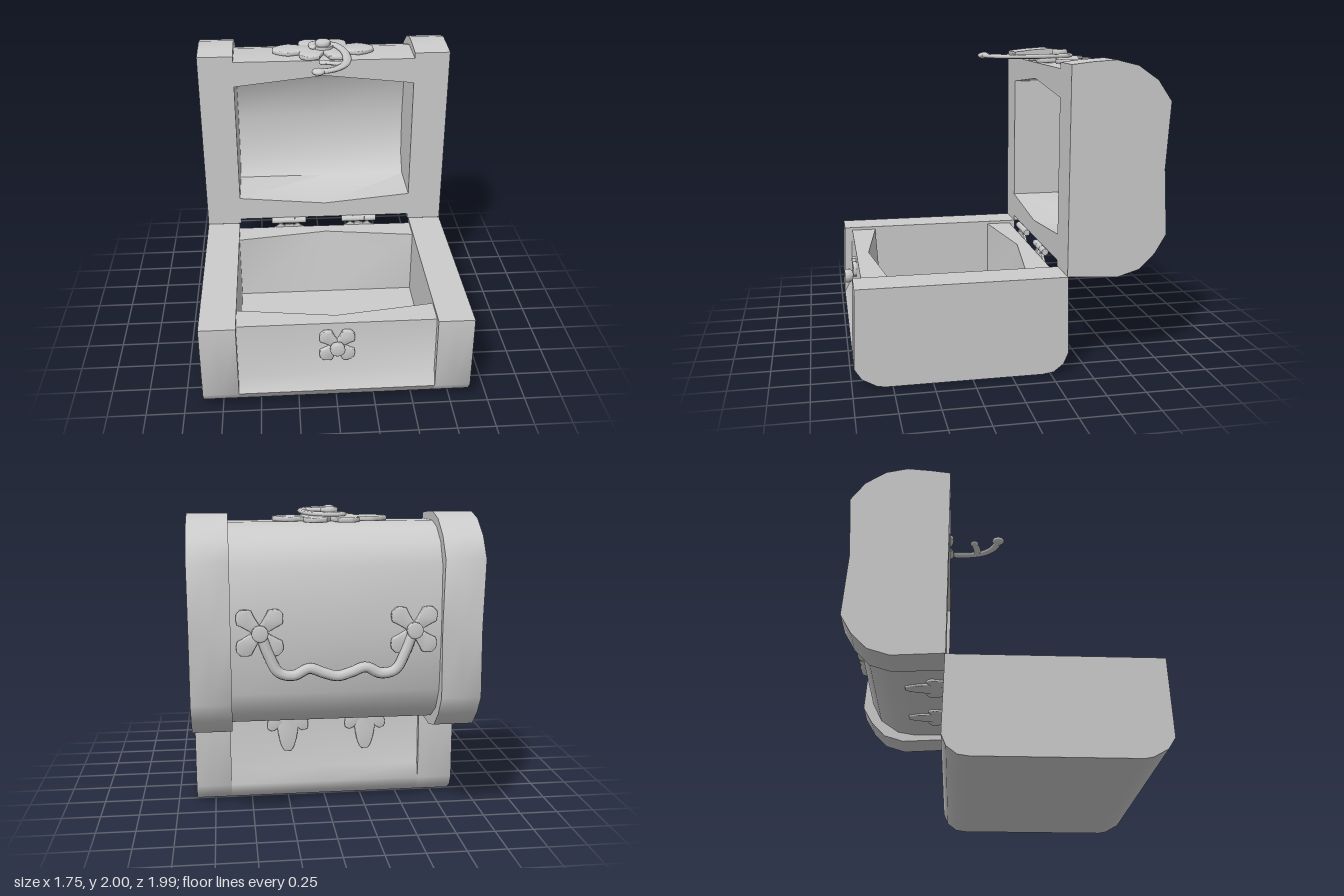
import * as THREE from 'three';
import { toCreasedNormals } from 'three/addons/utils/BufferGeometryUtils.js';

const mat = new THREE.MeshStandardMaterial({ color: 0xcccccc, side: THREE.DoubleSide });

function add(parent, name, geometry) {
  const mesh = new THREE.Mesh(geometry, mat);
  mesh.name = name;
  parent.add(mesh);
  return mesh;
}

// Solid with a [z, y] side profile running from x0 to x1.
// An optional bow moves the vertices of the middle section.
function slab(profile, x0, x1, bow) {
  const shape = new THREE.Shape(profile.map(([z, y]) => new THREE.Vector2(-z, y)));
  const g = new THREE.ExtrudeGeometry(shape, { depth: x1 - x0, steps: 2, bevelEnabled: false });
  g.rotateY(Math.PI / 2).translate(x0, 0, 0);
  if (bow) {
    const pos = g.attributes.position, v = new THREE.Vector3();
    for (let i = 0; i < pos.count; i++) {
      v.fromBufferAttribute(pos, i);
      if (Math.abs(v.x) < 0.01) bow(v);
      pos.setXYZ(i, v.x, v.y, v.z);
    }
  }
  return toCreasedNormals(g, 0.85);
}

// Leaf plate from the origin along +y, widest at the given share of its length
function leaf(length, width, widest, thick) {
  const s = new THREE.Shape();
  s.moveTo(-width * 0.2, 0);
  s.quadraticCurveTo(-width * 0.3, length * widest * 0.6, -width / 2, length * widest);
  s.quadraticCurveTo(-width * 0.38, length * 0.9, -width * 0.14, length);
  s.lineTo(width * 0.14, length);
  s.quadraticCurveTo(width * 0.38, length * 0.9, width / 2, length * widest);
  s.quadraticCurveTo(width * 0.3, length * widest * 0.6, width * 0.2, 0);
  return toCreasedNormals(new THREE.ExtrudeGeometry(s, {
    depth: thick * 0.5, bevelThickness: thick * 0.25, bevelSize: 0.006, bevelSegments: 2, curveSegments: 5,
  }), 0.85);
}

// Flower of leaf plates with a round stud, facing +z
function flower(name, petals, stud, height) {
  const g = new THREE.Group();
  g.name = name;
  for (const [angle, length, width, widest] of petals)
    add(g, 'petal', leaf(length, width, widest, 0.03)).rotation.z = THREE.MathUtils.degToRad(angle);
  const pts = [[0.6, 0], [0.75, height * 0.4], [1, height * 0.5], [1, height * 0.88], [0.8, height], [0, height]];
  add(g, 'stud', new THREE.LatheGeometry(pts.map(([r, y]) => new THREE.Vector2(r * stud, y)), 12)).rotation.x = Math.PI / 2;
  return g;
}

const rod = (points, radius, steps) =>
  new THREE.TubeGeometry(new THREE.CatmullRomCurve3(points.map((p) => new THREE.Vector3(...p))), steps, radius, 8);

const diagonal = [45, 135, 225, 315].map((a) => [a, 0.135, 0.095, 0.75]);

function createBase() {
  const g = new THREE.Group();
  g.name = 'base';
  const foot = [[0.985, 0.13], [0.94, 0.06], [0.85, 0.01], [0.8, 0], [-0.2, 0], [-0.27, 0.01], [-0.335, 0.06], [-0.365, 0.13]];
  // Thick end walls
  const end = [[0.97, 0.635], ...foot, [-0.355, 0.635]];
  add(g, 'leftEnd', slab(end, 0.64, 0.875));
  add(g, 'rightEnd', slab(end, -0.875, -0.64));
  // Tray with recessed panels and a broad rim that narrows towards the middle
  add(g, 'tray', slab([
    [0.915, 0.615], [0.93, 0.23], ...foot, [-0.33, 0.23], [-0.315, 0.615],
    [-0.14, 0.615], [-0.14, 0.14], [0.74, 0.14], [0.74, 0.615],
  ], -0.64, 0.64, (v) => {
    if (v.y > 0.6 && v.z > -0.2 && v.z < 0.8) v.z += v.z > 0 ? 0.09 : -0.09;
  }));
  const catchFlower = flower('catchFlower', diagonal, 0.048, 0.077);
  catchFlower.position.set(0, 0.455, 0.922);
  g.add(catchFlower);
  return g;
}

function createLid() {
  const g = new THREE.Group();
  g.name = 'lid';
  // Thick end caps
  const cap = [
    [-0.35, 1.95], [-0.48, 1.965], [-0.63, 1.975], [-0.77, 1.94], [-0.9, 1.85], [-0.99, 1.72], [-0.965, 1.3],
    [-0.99, 0.88], [-0.92, 0.76], [-0.82, 0.66], [-0.68, 0.618], [-0.35, 0.638],
  ];
  add(g, 'leftCap', slab(cap, 0.63, 0.875));
  add(g, 'rightCap', slab(cap, -0.875, -0.63));
  // Hollow barrel with the same kind of rim
  add(g, 'barrel', slab([
    [-0.35, 1.91], [-0.62, 1.92], [-0.74, 1.89], [-0.85, 1.81], [-0.92, 1.68], [-0.935, 1.3], [-0.92, 0.92],
    [-0.85, 0.78], [-0.72, 0.69], [-0.6, 0.67], [-0.35, 0.675],
    [-0.35, 0.85], [-0.7, 0.85], [-0.8, 0.98], [-0.83, 1.3], [-0.8, 1.6], [-0.7, 1.73], [-0.35, 1.73],
  ], -0.64, 0.64, (v) => {
    if (v.z > -0.36 && v.y > 0.8 && v.y < 1.8) v.y += v.y > 1.3 ? 0.07 : -0.06;
  }));
  return g;
}

// Flower plate and curled latch arm on the lid
function createLatch() {
  const g = new THREE.Group();
  g.name = 'latch';
  const plate = flower('latchPlate', [
    [90, 0.35, 0.18, 0.7], [270, 0.35, 0.18, 0.7],
    ...[40, 140, 220, 320].map((a) => [a, 0.22, 0.16, 0.7]),
  ], 0.055, 0.075);
  plate.rotation.x = -Math.PI / 2;
  plate.position.set(0, 1.924, -0.52);
  g.add(plate);
  const arm = new THREE.Group();
  arm.name = 'latchArm';
  add(arm, 'curl', rod([
    [-0.07, 0, -0.5], [-0.07, 0, -0.57], [0, 0, -0.585], [0.08, 0, -0.54], [0.12, 0, -0.46], [0.145, 0, -0.36],
    [0.145, 0, -0.22], [0.115, 0, -0.11], [0.04, 0, -0.03], [-0.05, 0, 0],
  ], 0.03, 48));
  add(arm, 'hook', rod([[0.13, 0, -0.15], [0.06, 0, -0.155], [-0.01, 0, -0.175]], 0.026, 12));
  add(arm, 'hub', new THREE.CylinderGeometry(0.075, 0.075, 0.04, 16)).position.set(0, 0, -0.525);
  for (const [x, z, r] of [[-0.06, 0, 0.045], [-0.015, -0.175, 0.032], [-0.07, -0.5, 0.03]])
    add(arm, 'tip', new THREE.SphereGeometry(r, 12, 8)).position.set(x, 0, z);
  arm.scale.y = 0.5;
  arm.position.y = 1.958;
  g.add(arm);
  return g;
}

// Wavy carrying handle hung between two flowers
function createHandle() {
  const g = new THREE.Group();
  g.name = 'handle';
  for (const side of [-1, 1]) {
    const f = flower('handleFlower', diagonal.map(([a, , w, p]) => [a, 0.17, w * 1.1, p]), 0.05, 0.06);
    f.rotation.y = Math.PI;
    f.position.set(side * 0.46, 1.3, -0.935);
    g.add(f);
  }
  const half = [[0.45, 1.28], [0.41, 1.17], [0.35, 1.06], [0.26, 1.04], [0.17, 1.08], [0.08, 1.05]];
  const path = [...half.map(([x, y]) => [-x, y, -0.955]), [0, 1.03, -0.955], ...half.reverse().map(([x, y]) => [x, y, -0.955])];
  add(g, 'bail', rod(path, 0.033, 64));
  return g;
}

// Hinge with a knuckle and pointed leaves on base and lid
function createHinge(x) {
  const g = new THREE.Group();
  g.name = 'hinge';
  for (const i of [-1, 0, 1]) {
    add(g, 'knuckle', new THREE.CylinderGeometry(0.023, 0.023, 0.085, 10).rotateZ(Math.PI / 2)).position.set(i * 0.086, 0.66, -0.335);
    const tilt = i * 0.5, length = i ? 0.14 : 0.27, width = i ? 0.09 : 0.13;
    const lower = add(g, 'baseLeaf', leaf(length, width, 0.4, 0.02));
    lower.position.set(i * 0.05, 0.625, -0.335);
    lower.rotation.z = Math.PI + tilt;
    const upper = add(g, 'lidLeaf', leaf(length, width, 0.4, 0.02));
    upper.position.set(i * 0.05, 0.662, -0.345);
    upper.rotation.set(-Math.PI / 2, 0, -tilt);
  }
  g.position.x = x;
  return g;
}

export function createModel() {
  const model = new THREE.Group();
  model.name = 'openChest';
  model.add(createBase(), createLid(), createLatch(), createHandle(), createHinge(-0.27), createHinge(0.255));
  return model;
}
